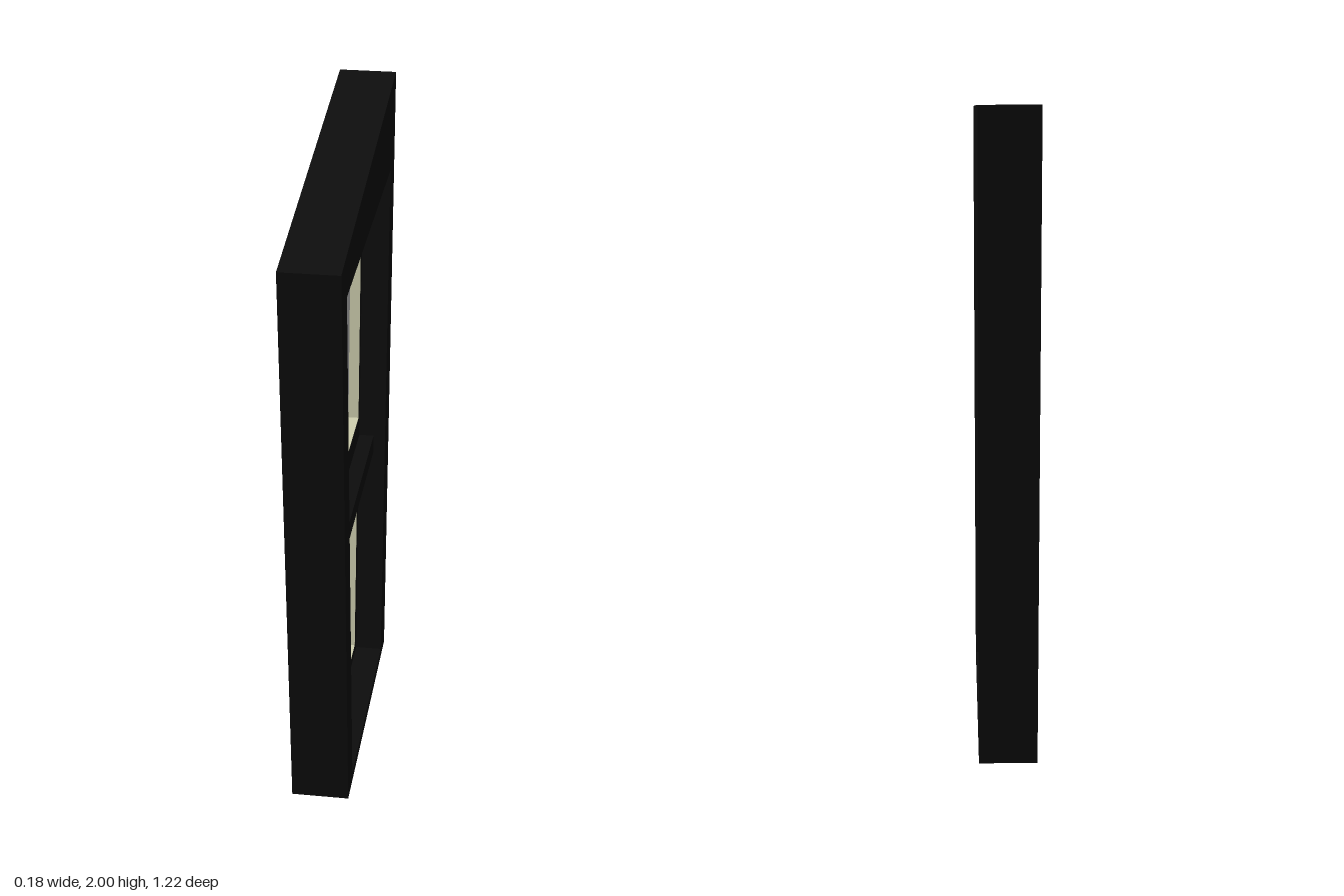
import * as THREE from 'three';

const mat = (name, color) => {
  const m = new THREE.MeshStandardMaterial({ color });
  m.name = name;
  return m;
};

// Outlines are [u, y] corners counter-clockwise, with u = -z
const OUTER = [[-0.455, 0], [0.45, 0], [0.605, 2], [-0.61, 1.83]];
const OPENING = [[-0.36, 0.03], [0.355, 0.03], [0.485, 1.72], [-0.5, 1.72]];
const PANES = {
  upper: [[-0.395, 0.89], [0.4, 0.89], [0.453, 1.68], [-0.46, 1.68]],
  lower: [[-0.325, 0.07], [0.327, 0.055], [0.377, 0.69], [-0.37, 0.69]],
};
const RAIL = [[-0.423, 0.76], [0.413, 0.76], [0.417, 0.82], [-0.428, 0.82]];

const points = (list) => list.map(([u, y]) => new THREE.Vector2(u, y));

// Moves every corner of a pane outline away from its middle by d
function grow(list, d) {
  const midY = list.reduce((sum, p) => sum + p[1], 0) / list.length;
  return list.map(([u, y]) => [u + Math.sign(u) * d, y + Math.sign(y - midY) * d]);
}

// Plate with holes, spanning x0 to x1
function plate(name, material, outline, holes, x0, x1) {
  const shape = new THREE.Shape(points(outline));
  holes.forEach((h) => shape.holes.push(new THREE.Path(points(h))));
  const geo = new THREE.ExtrudeGeometry(shape, { depth: x1 - x0, bevelEnabled: false });
  geo.translate(0, 0, x0).rotateY(Math.PI / 2);
  const mesh = new THREE.Mesh(geo, material);
  mesh.name = name;
  return mesh;
}

export function createModel() {
  const black = mat('black paint', 0x0d0d0d);
  const cream = mat('cream edging', 0xd0d0b0);
  const glass = mat('pale glass', 0xc8c8c8);

  const model = new THREE.Group();
  model.name = 'taperedWindowPanel';

  // Solid back, deep outer frame, recessed sash and middle rail
  model.add(
    plate('backPanel', black, OUTER, [], -0.088, -0.04),
    plate('outerFrame', black, OUTER, [OPENING], -0.04, 0.088),
    plate('sash', black, OPENING, Object.values(PANES), -0.04, 0.003),
    plate('middleRail', black, RAIL, [], 0, 0.05),
  );

  // Panes with a thin cream edging around the inside of the sash
  for (const [name, outline] of Object.entries(PANES)) {
    model.add(
      plate(name + 'Glass', glass, outline, [], -0.039, -0.031),
      plate(name + 'Edging', cream, grow(outline, 0.004), [grow(outline, -0.001)], -0.032, 0.002),
    );
  }
  return model;
}
